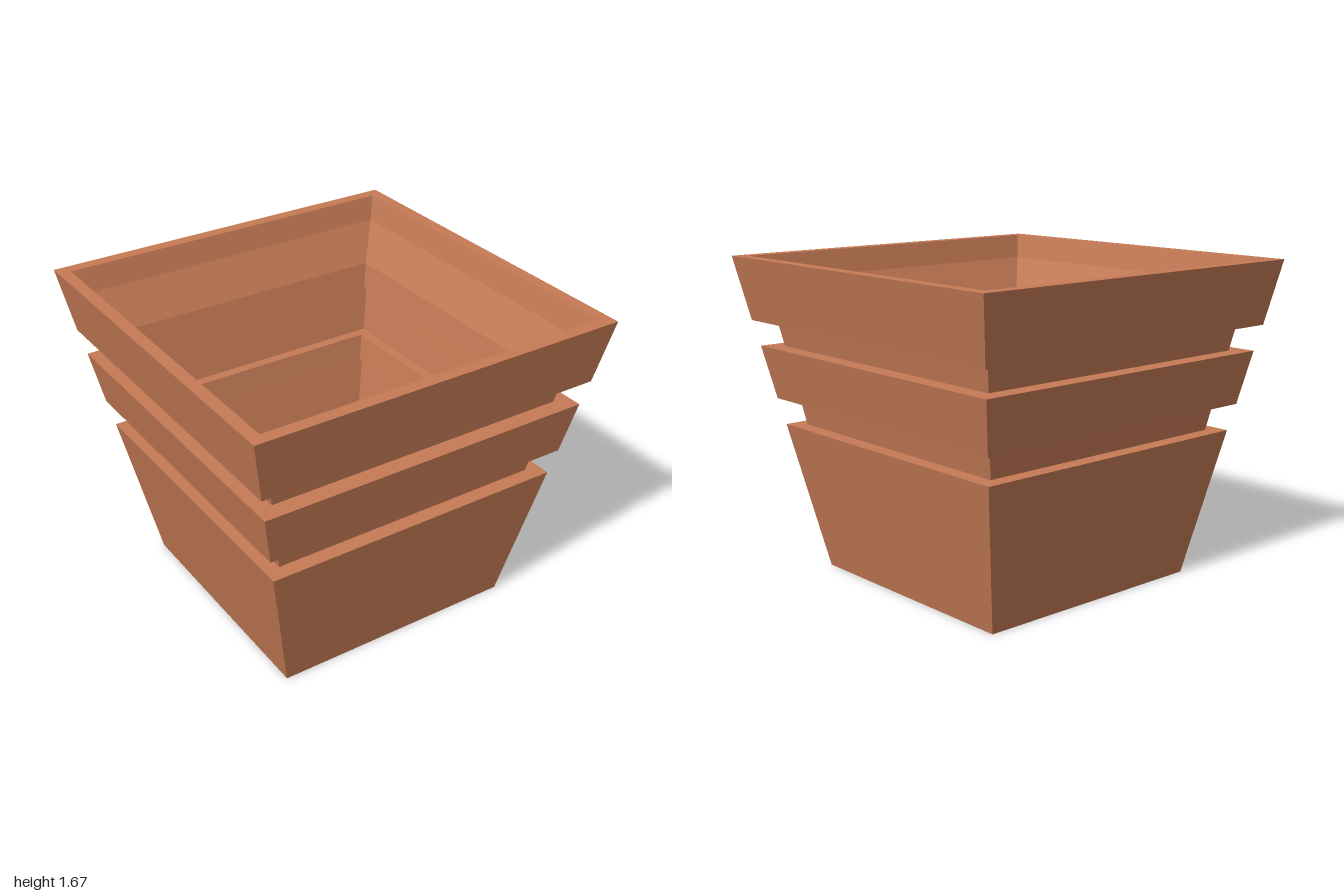
import * as THREE from 'three';

const clay = new THREE.MeshStandardMaterial({ color: 0xc67b56, flatShading: true });

// Sweeps a profile of [half width, height] points round a square plan.
// Profiles running upwards face outwards, those running downwards face inwards.
function squareRing(name, profile) {
  const points = profile.map(([half, y]) => new THREE.Vector2(half * Math.SQRT2, y));
  const geometry = new THREE.LatheGeometry(points, 4, Math.PI / 4).toNonIndexed();
  geometry.computeVertexNormals();
  const mesh = new THREE.Mesh(geometry, clay);
  mesh.name = name;
  return mesh;
}

export function createModel() {
  const planter = new THREE.Group();
  planter.name = 'squarePlanter';

  const parts = {
    // outside, from the ground up: tapering tiers with recessed necks between
    potBody: [[0, 0], [0.665, 0], [0.82, 0.78], [0.74, 0.78]],
    lowerNeck: [[0.74, 0.78], [0.765, 0.92]],
    middleBand: [[0.765, 0.92], [0.85, 0.92], [0.905, 1.2], [0.815, 1.2]],
    upperNeck: [[0.815, 1.2], [0.84, 1.335]],
    rim: [[0.84, 1.335], [0.935, 1.335], [1, 1.67], [0.935, 1.67]],
    // inside, from the rim down to the floor
    rimInside: [[0.935, 1.67], [0.905, 1.54], [0.805, 1.33]],
    upperNeckInside: [[0.805, 1.33], [0.78, 1.2]],
    middleBandInside: [[0.78, 1.2], [0.84, 1.2], [0.785, 0.92], [0.73, 0.92]],
    lowerNeckInside: [[0.73, 0.92], [0.705, 0.78]],
    potInside: [[0.705, 0.78], [0.755, 0.78], [0.645, 0.22], [0, 0.22]],
  };
  for (const [name, profile] of Object.entries(parts)) planter.add(squareRing(name, profile));

  return planter;
}
